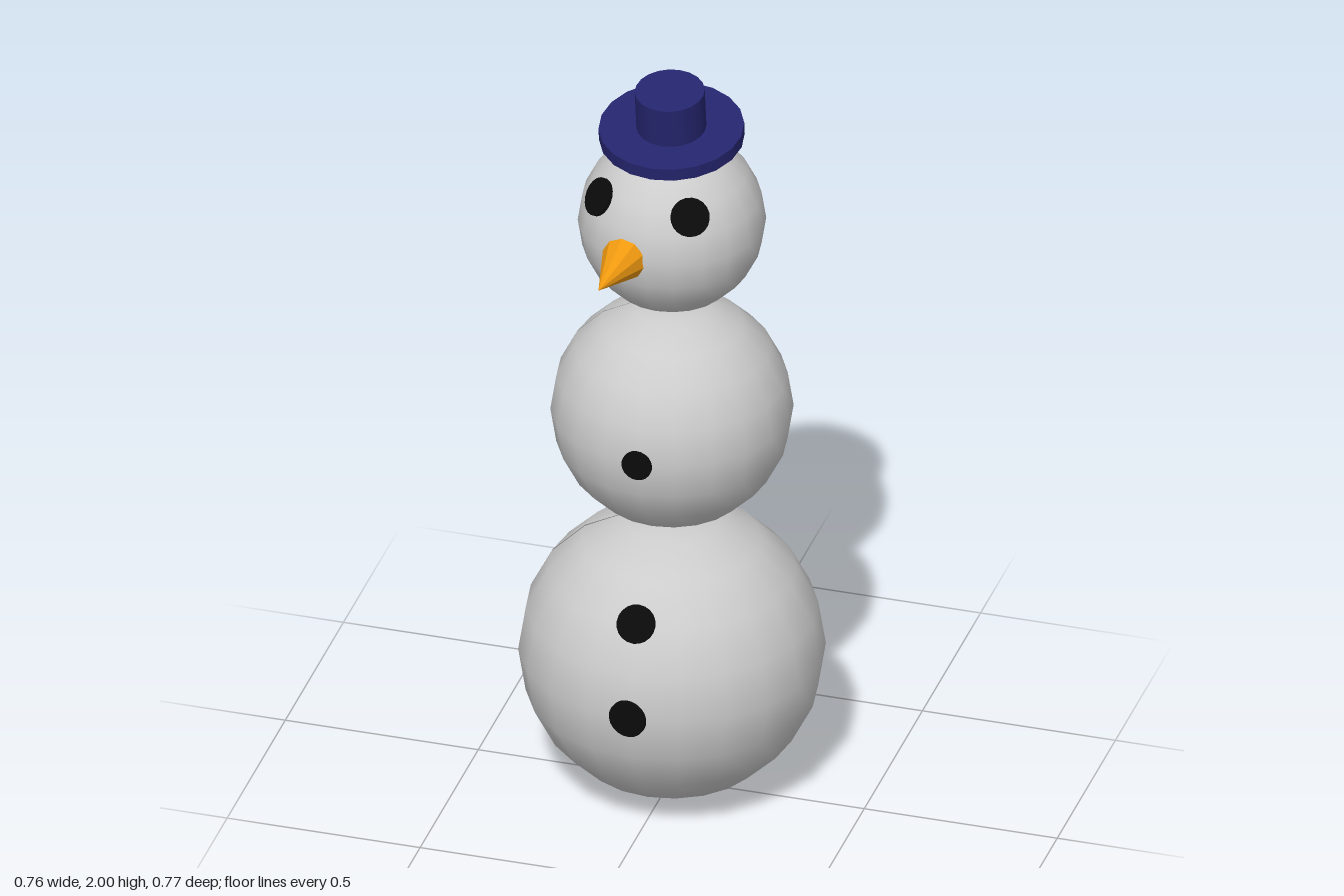
import * as THREE from 'three';

const Z0 = -0.006; // depth of the body axis

export function createModel() {
  const model = new THREE.Group();
  model.name = 'snowman';

  const snow = new THREE.MeshStandardMaterial({ color: 0xcccccc, side: THREE.DoubleSide });
  const coal = new THREE.MeshStandardMaterial({ color: 0x0a0a0a });
  const felt = new THREE.MeshStandardMaterial({ color: 0x25256f });
  const carrot = new THREE.MeshStandardMaterial({ color: 0xf09a10, flatShading: true });

  function add(parent, name, geometry, material, x, y, z) {
    const mesh = new THREE.Mesh(geometry, material);
    mesh.name = name;
    mesh.position.set(x, y, z);
    parent.add(mesh);
    return mesh;
  }

  // Snowballs; the two body balls keep a hairline seam on their right side
  const balls = [
    ['lowerBody', 0.382, 0.382, 0.025],
    ['upperBody', 0.302, 1.07, 0.015],
    ['head', 0.234, 1.611, 0],
  ];
  for (const [name, r, y, gap] of balls) {
    add(model, name, new THREE.SphereGeometry(r, 20, 10, gap, Math.PI * 2 - gap), snow, 0, y, Z0);
  }

  // Thin coal discs, each lying flat along its outward direction
  const up = new THREE.Vector3(0, 1, 0);
  const discs = [
    ['rightEye', 0.049, [-0.146, 1.73, 0.139], [-0.146, 0.118, 0.144]],
    ['leftEye', 0.049, [0.1, 1.73, 0.17], [0.1, 0.118, 0.176]],
    ['topButton', 0.039, [0, 1.07, 0.297], [-0.05, 0, 1]],
    ['middleButton', 0.049, [0, 0.617, 0.303], [0, 0.23, 0.312]],
    ['bottomButton', 0.049, [0, 0.386, 0.376], [-0.12, 0.02, 1]],
  ];
  for (const [name, r, at, normal] of discs) {
    const disc = add(model, name, new THREE.CylinderGeometry(r, r, 0.009, 20), coal, ...at);
    disc.quaternion.setFromUnitVectors(up, new THREE.Vector3(...normal).normalize());
  }

  // Carrot nose, pointing forward and a little to the right
  const base = new THREE.Vector3(-0.058, 1.61, 0.217);
  const tip = new THREE.Vector3(-0.073, 1.61, 0.384);
  const mid = base.clone().add(tip).multiplyScalar(0.5);
  const nose = add(model, 'nose', new THREE.ConeGeometry(0.057, base.distanceTo(tip), 10),
    carrot, mid.x, mid.y, mid.z);
  nose.quaternion.setFromUnitVectors(up, tip.clone().sub(base).normalize());

  // Hat, tipped forward
  const hat = new THREE.Group();
  hat.name = 'hat';
  hat.position.set(0, 1.864, -0.003);
  hat.rotation.x = 0.127;
  add(hat, 'hatBrim', new THREE.CylinderGeometry(0.181, 0.181, 0.034, 20), felt, 0, 0, 0);
  add(hat, 'hatCrown', new THREE.CylinderGeometry(0.087, 0.087, 0.126, 20), felt, 0, 0.063, 0);
  model.add(hat);

  return model;
}
